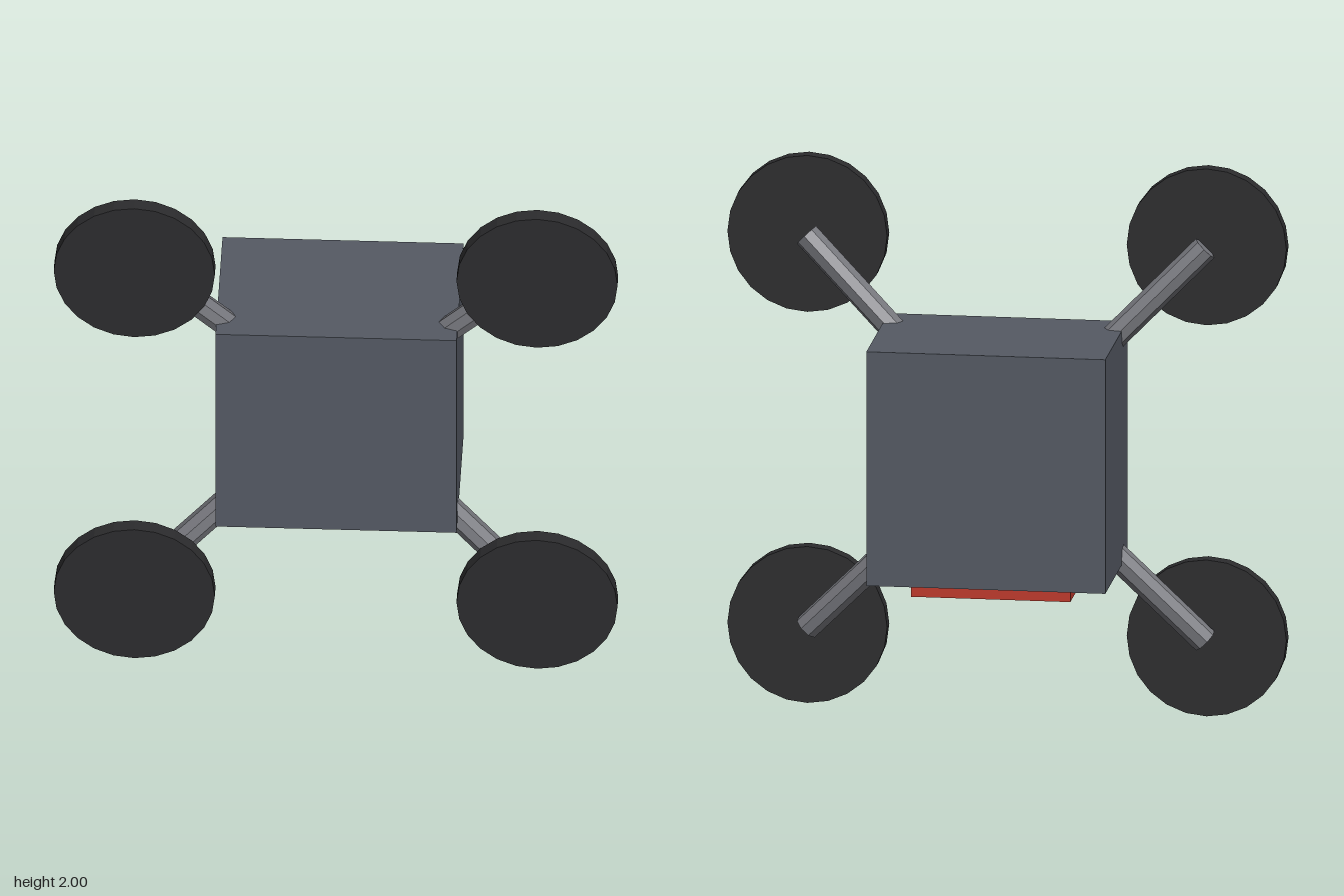
import * as THREE from 'three';

const mat = (color) => new THREE.MeshStandardMaterial({ color, flatShading: true });

export function createModel() {
  const model = new THREE.Group();
  const bodyMat = mat(0x555a64);
  const armMat = mat(0x77787e);
  const discMat = mat(0x2c2c2e);
  const panelMat = mat(0xc0392b);

  const add = (name, geometry, material, x, y, z) => {
    const mesh = new THREE.Mesh(geometry, material);
    mesh.name = name;
    mesh.position.set(x, y, z);
    model.add(mesh);
    return mesh;
  };

  // Central box and the thin panel hanging just below it
  add('body', new THREE.BoxGeometry(0.855, 0.855, 0.57), bodyMat, 0, 1, -0.015);
  add('bottomPanel', new THREE.BoxGeometry(0.57, 0.057, 0.32), panelMat, 0, 0.535, -0.015);

  // Four slanted arms, each ending behind an upright disc
  const discGeo = new THREE.CylinderGeometry(0.2857, 0.2857, 0.055, 24).rotateX(Math.PI / 2);
  const up = new THREE.Vector3(0, 1, 0);
  for (const sx of [-1, 1]) {
    for (const sy of [-1, 1]) {
      const label = (sy > 0 ? 'upper' : 'lower') + (sx > 0 ? 'Left' : 'Right');
      const inner = new THREE.Vector3(sx * 0.29, 1 + sy * 0.29, 0.143);
      const outer = new THREE.Vector3(sx * 0.713, 1 + sy * 0.717, 0.217);
      const dir = outer.clone().sub(inner);
      const mid = inner.clone().add(outer).multiplyScalar(0.5);
      const arm = add(label + 'Arm', new THREE.CylinderGeometry(0.047, 0.047, dir.length(), 8),
        armMat, mid.x, mid.y, mid.z);
      arm.quaternion.setFromUnitVectors(up, dir.normalize());
      add(label + 'Disc', discGeo, discMat, sx * 0.7143, 1 + sy * 0.7143, 0.2725);
    }
  }
  return model;
}
